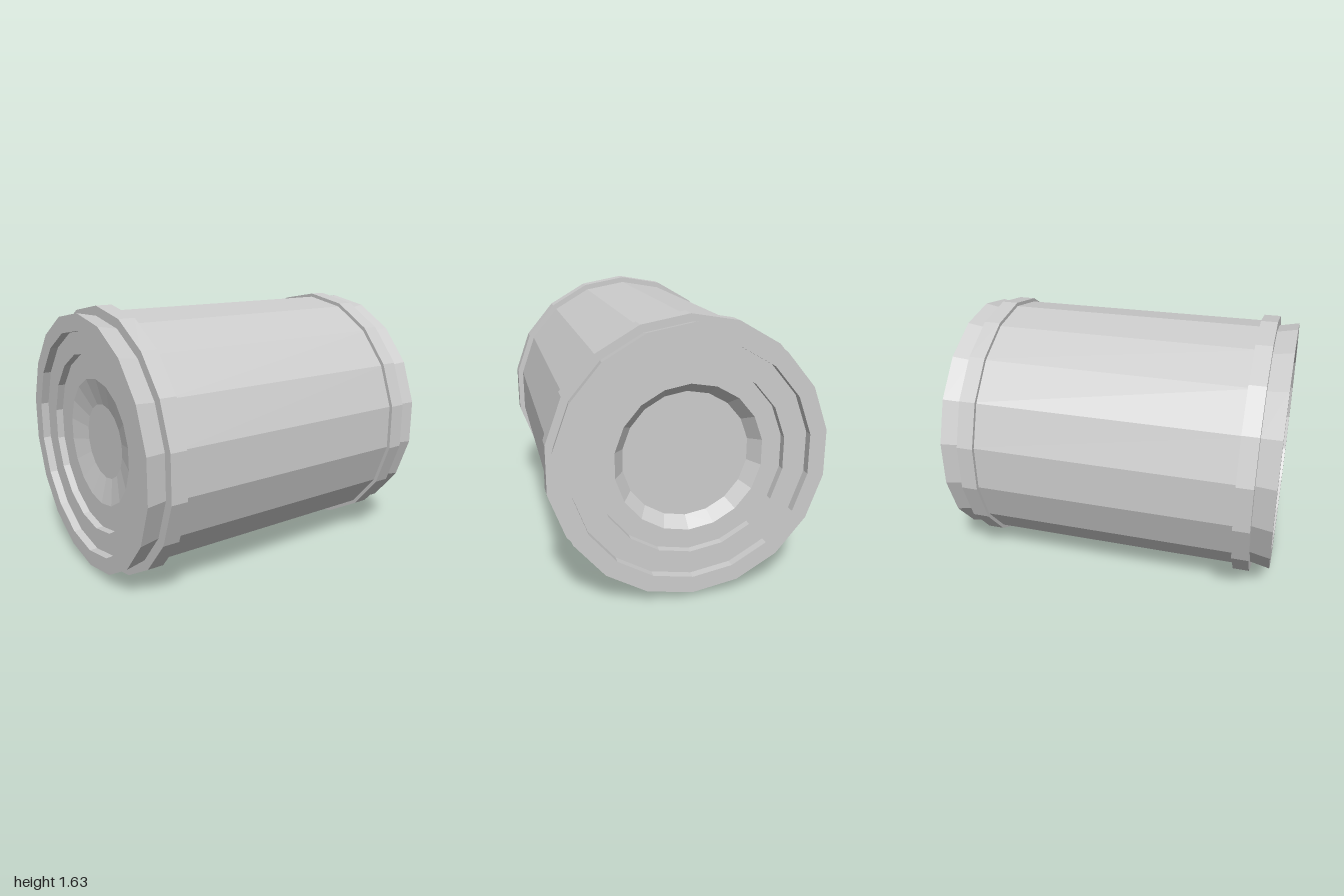
import * as THREE from 'three';

const SIDES = 18;
const RADIUS = 0.815;
const material = new THREE.MeshStandardMaterial({ color: 0xcccccc, flatShading: true });

// Spins [radius, z] points, ordered from back to front, around the z axis.
function spin(name, profile) {
  const points = profile.map(([r, z]) => new THREE.Vector2(r, z));
  const geometry = new THREE.LatheGeometry(points, SIDES);
  geometry.rotateX(Math.PI / 2);
  const mesh = new THREE.Mesh(geometry, material);
  mesh.name = name;
  return mesh;
}

// Stepped, recessed lid with a dished centre, listed from the rim inwards.
function lid(side, dishOuter, dishInner, dishZ) {
  return [
    [0.78, 1], [0.68, 1], [0.68, 0.95], [0.545, 0.95], [0.545, 0.905],
    [dishOuter, 0.905], [dishInner, dishZ], [0, dishZ],
  ].map(([r, z]) => [r, z * side]);
}

// Raised hoop with a rectangular section.
function band(name, radius, z0, z1) {
  return spin(name, [[0.74, z0], [radius, z0], [radius, z1], [0.74, z1]]);
}

export function createModel() {
  const group = new THREE.Group();
  group.name = 'barrel';

  // Straight shell and flared ends
  group.add(spin('shell', [
    [0.78, -1], [0.757, -0.88], [0.757, -0.83], [0.78, -0.83],
    [0.78, 0.83], [0.757, 0.83], [0.757, 0.88], [0.78, 1],
  ]));

  // End lids: the rear dish is wider and deeper
  group.add(spin('frontLid', lid(1, 0.39, 0.23, 0.865)));
  group.add(spin('backLid', lid(-1, 0.43, 0.37, 0.83).reverse()));

  // Hoops
  group.add(band('frontBand', RADIUS, 0.78, 0.88));
  group.add(band('backBand', 0.802, -0.88, -0.78));

  // Lift the barrel so it rests on the ground
  for (const mesh of group.children) mesh.position.y = RADIUS;
  return group;
}
